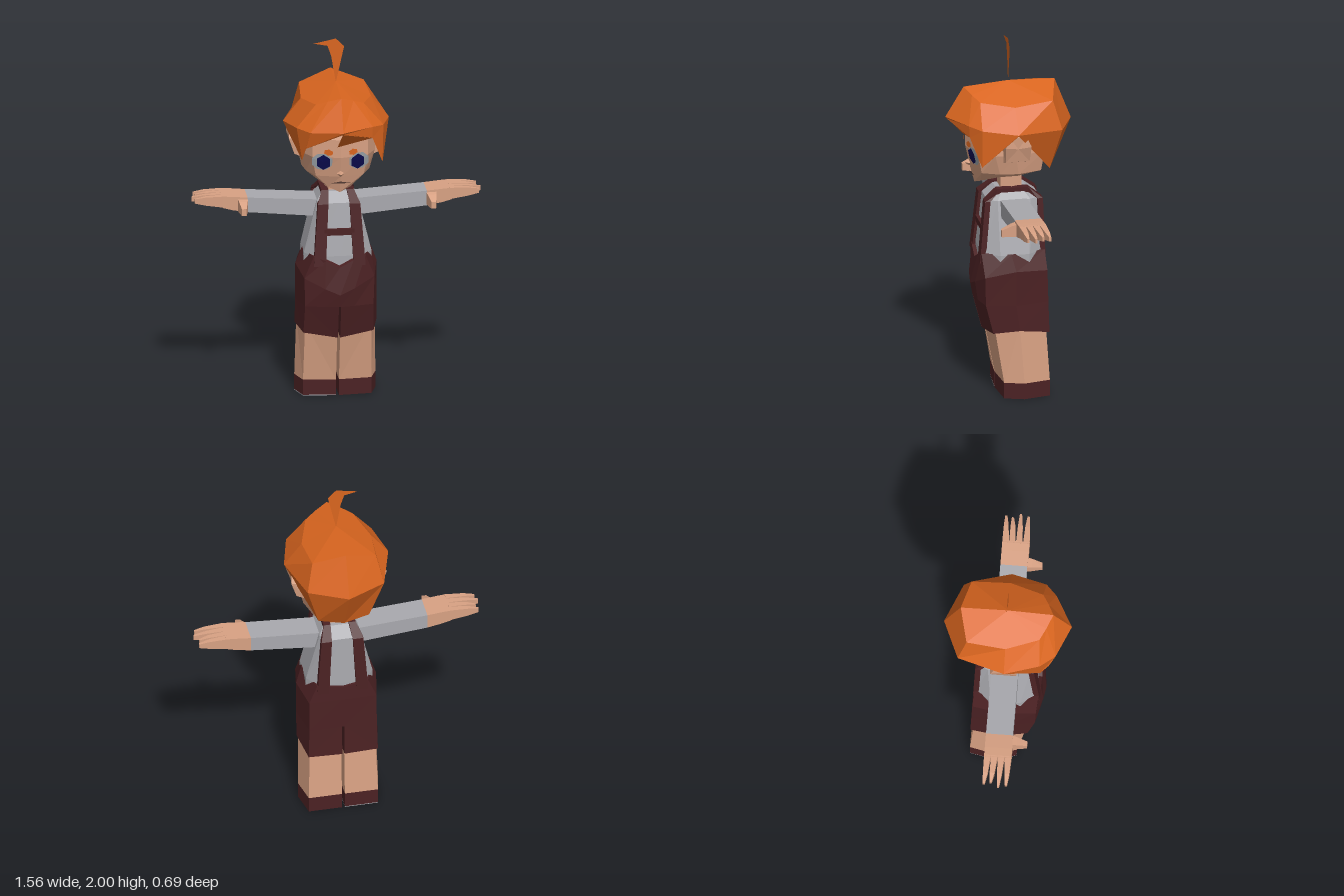
import * as THREE from 'three';

const mat = (name, color, side = THREE.FrontSide) => {
  const m = new THREE.MeshStandardMaterial({ color, side });
  m.name = name;
  return m;
};

// Flat-shaded geometry from points and triangles
function facets(points, tris) {
  const g = new THREE.BufferGeometry();
  g.setAttribute('position', new THREE.Float32BufferAttribute(points.flat(), 3));
  g.setIndex(tris.flat());
  const flat = g.toNonIndexed();
  flat.computeVertexNormals();
  return flat;
}

// Skin a row of equal-sized rings; closed ends use a centre point
function loft(rings, { capStart = true, capEnd = true, apex = null } = {}) {
  const n = rings[0].length, pts = rings.flat().map(p => [...p]), tris = [];
  for (let i = 0; i < rings.length - 1; i++)
    for (let j = 0; j < n; j++) {
      const a = i * n + j, b = i * n + (j + 1) % n;
      tris.push([a, b, b + n], [a, b + n, a + n]);
    }
  const mean = r => [0, 1, 2].map(k => r.reduce((s, p) => s + p[k], 0) / n);
  const cap = (ring, start, flip, centre) => {
    const c = pts.push(centre || mean(ring)) - 1;
    for (let j = 0; j < n; j++) {
      const a = start + j, b = start + (j + 1) % n;
      tris.push(flip ? [c, b, a] : [c, a, b]);
    }
  };
  if (capStart) cap(rings[0], 0, true);
  if (capEnd) cap(rings.at(-1), (rings.length - 1) * n, false, apex);
  // Turn the faces outwards if the volume comes out negative
  const v = pts.map(p => new THREE.Vector3(...p));
  const mid = new THREE.Vector3(...mean(rings[0]));
  v.forEach(p => p.sub(mid));
  const vol = tris.reduce((s, [a, b, c]) => s + v[a].dot(v[b].clone().cross(v[c])), 0);
  if (vol < 0) tris.forEach(t => t.reverse());
  return facets(pts, tris);
}

// Complete a ring from its +x half (front centre to back centre)
const sym = half => [...half, ...half.slice(1, -1).reverse().map(([x, y, z]) => [-x, y, z])];
const level = (y, half) => half.map(([x, z]) => [x, y, z]);
const mirrorX = rings => rings.map(r => r.map(([x, y, z]) => [-x, y, z]));
// Rectangle across the x axis
const slab = (x, y0, y1, z0, z1) => [[x, y0, z0], [x, y1, z0], [x, y1, z1], [x, y0, z1]];

export function createModel() {
  const model = new THREE.Group();
  const hair = mat('orange hair', 0xd9651f, THREE.DoubleSide);
  const skin = mat('skin', 0xd8a183);
  const grey = mat('grey cloth', 0xa9a9ae);
  const maroon = mat('maroon cloth', 0x4b2123);
  const navy = mat('navy iris', 0x0b0b50);
  const eyeGrey = mat('eye grey', 0x9aa2a8);
  const lip = mat('mouth brown', 0x5a4038);

  const add = (name, geo, material) => {
    const m = new THREE.Mesh(geo, material);
    m.name = name;
    model.add(m);
    return m;
  };
  const pair = (name, rings, material) => {
    add(name + 'Left', loft(rings), material);
    add(name + 'Right', loft(mirrorX(rings)), material);
  };

  // Head
  add('head', loft([
    sym([[0, 1.19, .185], [.06, 1.215, .165], [.14, 1.258, .08], [.15, 1.262, -.02], [.12, 1.275, -.13], [0, 1.285, -.18]]),
    sym(level(1.285, [[0, .21], [.13, .172], [.172, .08], [.185, -.02], [.15, -.15], [0, -.187]])),
    sym(level(1.4, [[0, .235], [.15, .195], [.198, .11], [.21, 0], [.17, -.165], [0, -.215]])),
    sym(level(1.5, [[0, .235], [.15, .195], [.198, .11], [.205, 0], [.17, -.15], [0, -.2]])),
    sym(level(1.62, [[0, .19], [.1, .15], [.14, .08], [.15, 0], [.12, -.13], [0, -.17]])),
  ]), skin);
  add('neck', loft([1.12, 1.28].map(y => sym(level(y, [[0, .05], [.045, .05], [.062, -.008], [.045, -.065], [0, -.065]])))), skin);

  // Ears
  pair('ear', [
    [[.17, 1.52, -.06], [.17, 1.52, .05], [.17, 1.46, .075], [.17, 1.35, .07], [.17, 1.35, -.08], [.17, 1.46, -.085]],
    [[.255, 1.52, -.05], [.255, 1.52, .04], [.262, 1.465, .065], [.232, 1.375, .06], [.232, 1.375, -.07], [.262, 1.465, -.075]],
  ], skin);

  // Face details laid on the front of the head
  const faceZ = (x, y) => .235 - .27 * Math.abs(x) - .2 * Math.max(0, 1.4 - y);
  const patch = (name, outline, lift, material) => {
    const c = [0, 1].map(k => outline.reduce((s, p) => s + p[k], 0) / outline.length);
    const pts = [c, ...outline].map(([x, y]) => [x, y, faceZ(x, y) + lift]);
    const n = outline.length;
    add(name, facets(pts, outline.map((_, i) => [0, i + 1, (i + 1) % n + 1])), material);
  };
  const oval = (cx, cy, rx, ry, n, turn = 0) => Array.from({ length: n }, (_, i) => {
    const a = (i + .5) / n * Math.PI * 2, u = rx * Math.cos(a), v = ry * Math.sin(a);
    return [cx + u * Math.cos(turn) - v * Math.sin(turn), cy + u * Math.sin(turn) + v * Math.cos(turn)];
  });
  for (const [s, side] of [[1, 'Left'], [-1, 'Right']]) {
    patch('eyeWhite' + side, oval(s * .1, 1.375, .058, .05, 8), .008, eyeGrey);
    patch('iris' + side, oval(s * .093, 1.373, .04, .045, 6), .014, navy);
    patch('eyebrow' + side, oval(s * .067, 1.432, .026, .018, 6, s * .15), .014, hair);
  }
  patch('mouth', [[-.06, 1.243], [0, 1.247], [.06, 1.243], [0, 1.259]], .006, lip);
  const nose = new THREE.ConeGeometry(.02, .03, 4).toNonIndexed();
  nose.computeVertexNormals();
  nose.rotateX(Math.PI / 2).translate(0, 1.305, .227);
  add('nose', nose, skin);

  // Hair shell: ragged lower edge, widest ring, crown ring
  add('hairCap', loft([
    [[0, 1.565, .338], [.17, 1.51, .245], [.23, 1.355, .19], [.285, 1.54, 0], [.14, 1.29, -.2], [0, 1.26, -.21],
      [-.14, 1.29, -.2], [-.285, 1.54, 0], [-.205, 1.38, .19], [-.19, 1.46, .235]],
    [[0, 1.575, .345], [.17, 1.575, .25], [.235, 1.565, .19], [.287, 1.545, 0], [.21, 1.53, -.255], [0, 1.52, -.345],
      [-.21, 1.53, -.255], [-.287, 1.545, 0], [-.235, 1.565, .19], [-.17, 1.56, .27]],
    [[0, 1.74, .245], [.07, 1.715, .213], [.13, 1.69, .18], [.19, 1.67, 0], [.175, 1.69, -.21], [0, 1.75, -.255],
      [-.175, 1.69, -.21], [-.19, 1.67, 0], [-.13, 1.69, .18], [-.07, 1.715, .213]],
  ], { capStart: false, apex: [0, 1.76, 0] }), hair);
  add('fringe', facets([[0, 1.57, .338], [-.02, 1.465, .245], [.17, 1.512, .247]], [[0, 1, 2]]), hair);
  const tuft = new THREE.Shape([[0, 1.75], [.045, 1.955], [0, 2], [-.12, 1.975], [-.045, 1.96], [-.025, 1.9]]
    .map(p => new THREE.Vector2(...p)));
  add('hairTuft', new THREE.ShapeGeometry(tuft), hair);

  // Shirt body
  add('shirt', loft([
    sym(level(.74, [[0, .165], [.13, .163], [.185, .08], [.185, -.08], [.13, -.16], [0, -.163]])),
    sym(level(.82, [[0, .165], [.13, .163], [.183, .08], [.183, -.08], [.13, -.16], [0, -.163]])),
    sym(level(1.11, [[0, .132], [.085, .132], [.112, .08], [.112, -.1], [.085, -.155], [0, -.155]])),
    sym(level(1.16, [[0, .075], [.05, .075], [.08, .05], [.08, -.06], [.05, -.09], [0, -.09]])),
  ]), grey);

  // Braces running over the shoulders: y, z, inner x, outer x, inward step
  pair('strap', [
    [.77, .183, .075, .14, 0, -.03], [1.11, .15, .058, .115, 0, -.03], [1.17, .08, .05, .088, -.03, 0],
    [1.17, -.093, .05, .088, -.03, 0], [1.11, -.168, .058, .115, 0, .03], [.77, -.178, .075, .14, 0, .03],
  ].map(([y, z, xi, xo, dy, dz]) => [[xi, y, z], [xo, y, z], [xo, y + dy, z + dz], [xi, y + dy, z + dz]]), maroon);
  add('chestBar', new THREE.BoxGeometry(.16, .035, .025).translate(0, .955, .153), maroon);

  // Shorts: one upper piece and two legs
  add('shorts', loft([
    sym([[0, .54, .195], [.08, .54, .183], [.185, .54, .16], [.22, .54, 0], [.185, .54, -.183], [0, .54, -.183]]),
    sym([[0, .61, .208], [.08, .645, .198], [.19, .7, .165], [.22, .735, 0], [.185, .72, -.178], [0, .72, -.18]]),
    sym([[0, .76, .185], [.075, .8, .183], [.14, .825, .175], [.188, .825, .02], [.14, .825, -.172], [0, .8, -.176]]),
  ]), maroon);
  pair('shortsLeg', [
    [[.006, .35, .145], [.19, .378, .12], [.222, .395, -.02], [.19, .365, -.188], [.006, .36, -.19]],
    [[.006, .54, .194], [.185, .54, .16], [.22, .54, 0], [.185, .54, -.183], [.006, .54, -.183]],
  ], maroon);

  // Legs and shoes share one footprint
  const foot = [[.008, .075], [.185, .06], [.22, -.045], [.19, -.19], [.008, -.19]];
  pair('leg', [
    level(.09, foot),
    level(.43, [[.008, .142], [.18, .115], [.212, -.02], [.18, -.168], [.008, -.168]]),
  ], skin);
  add('shoeLeft', loft([level(0, foot), level(.09, foot)]), maroon);
  add('shoeRight', loft(mirrorX([level(.004, foot), level(.09, foot)])), maroon);
  add('soleRight', loft(mirrorX([level(0, foot), level(.004, foot)])), grey);

  // Sleeves, palms, thumbs and fingers
  pair('sleeve', [slab(.07, 1.015, 1.11, -.08, .065), slab(.485, 1.055, 1.138, -.08, .065)], grey);
  pair('palm', [slab(.485, 1.055, 1.138, -.08, .065), slab(.565, 1.07, 1.146, -.08, .068), slab(.62, 1.085, 1.15, -.08, .068)], skin);
  pair('thumb', [
    [[.48, 1.06, .05], [.54, 1.065, .05], [.54, 1.135, .05], [.48, 1.132, .05]],
    [[.488, 1.06, .09], [.535, 1.062, .09], [.535, 1.125, .09], [.488, 1.122, .09]],
    [[.5, 1.062, .145], [.526, 1.062, .145], [.526, 1.1, .145], [.5, 1.1, .145]],
  ], skin);
  [[-.062, -.07, .768], [-.025, -.034, .76], [.012, .008, .782], [.05, .05, .77]].forEach(([z0, z1, tip], i) => {
    const zm = (z0 + z1) / 2;
    pair('finger' + (i + 1), [
      slab(.61, 1.086, 1.15, z0 - .018, z0 + .018),
      slab(.71, 1.1, 1.146, zm - .013, zm + .013),
      slab(tip, 1.112, 1.136, z1 - .006, z1 + .006),
    ], skin);
  });

  return model;
}
